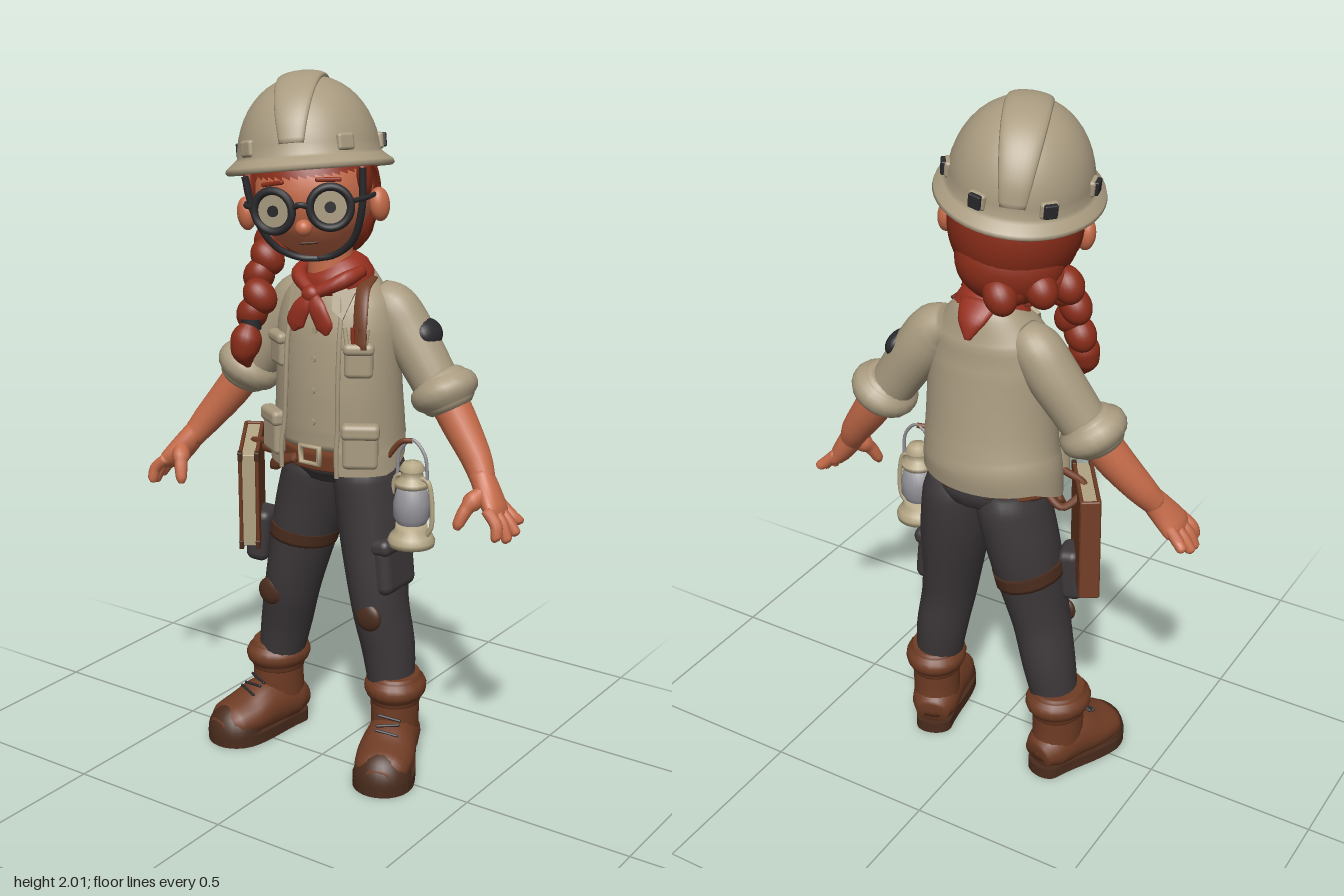
import * as THREE from 'three';
import { mergeVertices } from 'three/addons/utils/BufferGeometryUtils.js';
import { RoundedBoxGeometry } from 'three/addons/geometries/RoundedBoxGeometry.js';

const V = (x, y, z) => new THREE.Vector3(x, y, z);

// Tube with elliptical rings [x, y, z, r1, r2] blended along a smooth path; a0..a1 leaves an opening
function loft(rings, { seg = 20, a0 = 0, a1 = Math.PI * 2, cap = true, sub = 5 } = {}) {
  const path = new THREE.CatmullRomCurve3(rings.map(r => V(r[0], r[1], r[2])));
  const radii = new THREE.CatmullRomCurve3(rings.map(r => V(r[3], r[4] ?? r[3], 0)));
  const n = (rings.length - 1) * sub, pos = [], idx = [];
  const ring = (t, k) => {
    const c = path.getPoint(t), r = radii.getPoint(t), tan = path.getTangent(t);
    const side = Math.abs(tan.x) > 0.95 ? V(0, 0, 1) : V(1, 0, 0);
    side.addScaledVector(tan, -side.dot(tan)).normalize();
    const nor = tan.clone().cross(side);
    for (let j = 0; j <= seg; j++) {
      const a = a0 + (a1 - a0) * j / seg;
      const p = c.clone().addScaledVector(side, Math.cos(a) * r.x * k).addScaledVector(nor, Math.sin(a) * r.y * k);
      pos.push(p.x, p.y, p.z);
    }
  };
  if (cap) ring(0, 0);
  for (let i = 0; i <= n; i++) ring(i / n, 1);
  if (cap) ring(1, 0);
  const w = seg + 1, rows = pos.length / 3 / w;
  for (let i = 0; i < rows - 1; i++) for (let j = 0; j < seg; j++) {
    const a = i * w + j;
    idx.push(a, a + 1, a + w, a + 1, a + w + 1, a + w);
  }
  const g = new THREE.BufferGeometry();
  g.setAttribute('position', new THREE.Float32BufferAttribute(pos, 3));
  g.setIndex(idx);
  return bend(g, () => {});
}

// Moves vertices by a rule and smooths the result
function bend(g, rule) {
  const p = g.attributes.position, v = V(0, 0, 0);
  for (let i = 0; i < p.count; i++) { v.fromBufferAttribute(p, i); rule(v); p.setXYZ(i, v.x, v.y, v.z); }
  g.deleteAttribute('uv'); g.deleteAttribute('normal');
  const m = mergeVertices(g, 1e-5);
  m.computeVertexNormals();
  return m;
}

export function createModel() {
  const mat = (name, color, side = THREE.FrontSide) => Object.assign(new THREE.MeshStandardMaterial({ color, side }), { name });
  const khaki = mat('khaki', 0xa99b80, THREE.DoubleSide), skin = mat('skin', 0xc56b49);
  const red = mat('hair red', 0x8a2d19, THREE.DoubleSide), scarfRed = mat('scarf red', 0x97301f, THREE.DoubleSide);
  const charcoal = mat('charcoal', 0x3d383a), leather = mat('leather', 0x6f3c24), dark = mat('dark brown', 0x4a2c1d);
  const black = mat('black', 0x2a2a2d), cream = mat('cream', 0xb5a786), grey = mat('glass grey', 0x929298);

  const model = new THREE.Group();
  const add = (parent, name, geo, m, p = [0, 0, 0], r = [0, 0, 0], s = [1, 1, 1]) => {
    const mesh = new THREE.Mesh(geo, m);
    mesh.name = name; mesh.position.set(...p); mesh.rotation.set(...r); mesh.scale.set(...s);
    parent.add(mesh);
    return mesh;
  };
  const group = (parent, name, p, r = [0, 0, 0]) => {
    const g = new THREE.Group();
    g.name = name; g.position.set(...p); g.rotation.set(...r, 'YXZ');
    parent.add(g);
    return g;
  };
  const ball = (r = 1) => new THREE.SphereGeometry(r, 24, 16);
  const box = (w, h, d, r = 0.01) => new RoundedBoxGeometry(w, h, d, 3, Math.min(r, w / 2.1, h / 2.1, d / 2.1));
  const cyl = (a, b, h, n = 24) => new THREE.CylinderGeometry(a, b, h, n);
  const tube = (pts, r) => new THREE.TubeGeometry(new THREE.CatmullRomCurve3(pts.map(p => V(...p))), 24, r, 8);

  // Legs, hips and boots
  add(model, 'hips', loft([[0, 0.875, -0.107, 0.13, 0.112], [0, 0.92, -0.102, 0.18, 0.13], [0, 0.98, -0.09, 0.175, 0.125]]), charcoal);
  const legs = [
    { knee: -0.19, rings: [[-0.08, 0.93, -0.105, 0.085, 0.11], [-0.086, 0.87, -0.108, 0.098, 0.124], [-0.113, 0.75, -0.105, 0.1, 0.117], [-0.165, 0.5, -0.088, 0.08, 0.097], [-0.2, 0.36, -0.1, 0.075, 0.085], [-0.225, 0.23, -0.1, 0.065, 0.072]], foot: [-0.237, 0, -0.105], yaw: -0.28 },
    { knee: 0.157, rings: [[0.085, 0.93, -0.105, 0.085, 0.11], [0.091, 0.87, -0.108, 0.098, 0.124], [0.106, 0.75, -0.105, 0.099, 0.117], [0.142, 0.5, -0.088, 0.078, 0.097], [0.165, 0.36, -0.1, 0.075, 0.085], [0.18, 0.23, -0.1, 0.065, 0.072]], foot: [0.188, 0, -0.105], yaw: 0.36 },
  ];
  for (const { knee, rings, foot, yaw } of legs) {
    add(model, 'trouserLeg', loft(rings), charcoal);
    add(model, 'kneePatch', ball(), dark, [knee, 0.48, -0.004], [0, 0, 0], [0.042, 0.042, 0.018]);
    const boot = group(model, 'boot', foot, [0, yaw, 0]);
    add(boot, 'shaft', loft([[0, 0.05, -0.01, 0.068, 0.08], [0, 0.14, 0, 0.07, 0.08], [0, 0.25, 0, 0.073, 0.08]]), leather);
    add(boot, 'foldedCuff', loft([[0, 0.195, 0, 0.072, 0.08], [0, 0.212, 0, 0.077, 0.086], [0, 0.27, 0, 0.077, 0.086], [0, 0.285, 0, 0.07, 0.078]]), leather);
    const upper = loft([[0, 0.07, -0.085, 0.048, 0.04], [0, 0.08, -0.04, 0.07, 0.07], [0, 0.085, 0.05, 0.077, 0.08], [0, 0.07, 0.13, 0.085, 0.062], [0, 0.062, 0.19, 0.077, 0.05], [0, 0.055, 0.235, 0.035, 0.02]]);
    add(boot, 'upper', bend(upper, v => { v.y = Math.max(v.y, 0.02); }), leather);
    const cap = new THREE.SphereGeometry(1, 24, 12, 0, Math.PI * 2, 0, Math.PI / 2);
    add(boot, 'toeCap', cap, dark, [0, 0.025, 0.168], [0, 0, 0], [0.086, 0.092, 0.082]);
    const outline = new THREE.Shape();
    outline.moveTo(-0.054, 0.06);
    outline.bezierCurveTo(-0.045, 0.105, 0.045, 0.105, 0.054, 0.06);
    outline.bezierCurveTo(0.06, -0.02, 0.094, -0.1, 0.088, -0.17);
    outline.bezierCurveTo(0.07, -0.275, -0.07, -0.275, -0.088, -0.17);
    outline.bezierCurveTo(-0.094, -0.1, -0.06, -0.02, -0.054, 0.06);
    add(boot, 'sole', new THREE.ExtrudeGeometry(outline, { depth: 0.035, bevelEnabled: false }), dark, [0, 0, 0], [-Math.PI / 2, 0, 0]);
    for (let i = 0; i < 3; i++) add(boot, 'lace', box(0.07, 0.008, 0.01, 0.003), black, [0, 0.168 - i * 0.014, 0.08 + i * 0.02], [-0.6, 0, i % 2 ? 0.15 : -0.15]);
  }
  add(model, 'thighStrap', loft([[-0.13, 0.685, -0.102, 0.1, 0.118], [-0.138, 0.645, -0.1, 0.098, 0.116]]), dark);
  add(model, 'holster', box(0.07, 0.16, 0.1, 0.025), charcoal, [-0.235, 0.65, -0.03], [0, 0.2, -0.1]);
  add(model, 'cargoPocket', box(0.06, 0.15, 0.16, 0.028), charcoal, [0.185, 0.62, -0.09], [0, 0, 0.1]);
  add(model, 'cargoFlap', box(0.07, 0.05, 0.17, 0.022), charcoal, [0.182, 0.69, -0.09], [0, 0, 0.1]);

  // Belt
  add(model, 'belt', loft([[0, 0.92, -0.1, 0.19, 0.139], [0, 0.973, -0.095, 0.184, 0.137]]), leather, [0, 0, 0.008]);
  add(model, 'buckle', new THREE.TorusGeometry(0.036, 0.009, 6, 4).rotateZ(Math.PI / 4), cream, [-0.005, 0.953, 0.054], [0, 0, 0], [1.2, 0.95, 1]);
  add(model, 'hipStrap', loft([[-0.06, 0.935, 0.035, 0.012, 0.02], [-0.13, 0.905, 0.01, 0.012, 0.022], [-0.2, 0.87, -0.04, 0.012, 0.022]]), leather);

  // Shirt and open vest
  const body = [[-0.005, 0.965, -0.09, 0.18, 0.14], [-0.005, 1.03, -0.092, 0.182, 0.146], [0, 1.15, -0.082, 0.176, 0.138], [0, 1.3, -0.078, 0.172, 0.122], [0, 1.38, -0.085, 0.155, 0.105], [0, 1.435, -0.088, 0.108, 0.082], [0, 1.47, -0.08, 0.068, 0.062]];
  add(model, 'shirt', loft(body, { seg: 32 }), khaki);
  const wide = [[-0.01, 0.9, -0.092, 0.205, 0.162], ...body.map(([x, y, z, a, b]) => [x, y, z, a * 1.05 + 0.005, b * 1.06 + 0.005])];
  wide[1] = [-0.01, 0.97, -0.094, 0.203, 0.166];
  const gap = 0.48;
  const vest = loft(wide, { seg: 40, a0: -Math.PI / 2 + gap, a1: Math.PI * 1.5 - gap, cap: false });
  add(model, 'vest', bend(vest, v => { if (v.y < 1.1) v.y += (1.1 - v.y) * 0.3 * THREE.MathUtils.clamp((-0.05 - v.z) * 8, 0, 1); }), khaki);
  for (const s of [-1, 1]) {
    add(model, 'vestEdge', tube(wide.slice(0, 7).map(([x, y, z, a, b]) => [x + s * a * Math.sin(gap), y, z + b * Math.cos(gap)]), 0.007), khaki);
    const pocket = (x, y, z, w, h) => {
      const g = group(model, 'vestPocket', [x, y, z], [0, s * 0.55, 0]);
      add(g, 'pouch', box(w, h, 0.036, 0.015), khaki);
      add(g, 'flap', box(w * 1.08, h * 0.36, 0.044, 0.015), khaki, [0, h * 0.36, 0.003]);
    };
    pocket(s * 0.132, 1.235, 0.016, 0.08, 0.095);
    pocket(s * 0.147, 0.995, 0.028, 0.1, 0.125);
    const flap = new THREE.Shape([new THREE.Vector2(0, 0.05), new THREE.Vector2(s * 0.07, 0.03), new THREE.Vector2(s * 0.055, -0.05), new THREE.Vector2(s * 0.02, -0.03)]);
    add(model, 'collar', new THREE.ExtrudeGeometry(flap, { depth: 0.012, bevelEnabled: false }), khaki, [s * 0.035, 1.395, 0.018], [-0.45, s * 0.3, 0]);
  }
  for (const [y, z] of [[1.05, 0.055], [1.14, 0.056], [1.23, 0.051], [1.31, 0.043]])
    add(model, 'button', cyl(0.009, 0.009, 0.008, 12), khaki, [0.005, y, z], [Math.PI / 2, 0, 0]);
  add(model, 'shoulderStrap', loft([[0.098, 1.445, -0.09, 0.022, 0.008], [0.115, 1.425, -0.03, 0.022, 0.008], [0.135, 1.36, 0.012, 0.022, 0.008], [0.142, 1.27, 0.027, 0.022, 0.008]]), leather);
  [cream, red, leather, cream].forEach((m, i) => add(model, 'pencil', cyl(0.006, 0.006, 0.08, 8), m, [0.108 + i * 0.016, 1.29, 0.04 - i * 0.008], [0, 0, 0.15 - i * 0.1]));
  add(model, 'sleevePatch', ball(), black, [0.254, 1.3, -0.148], [0, 0, 0.53], [0.03, 0.042, 0.052]);

  // Arms: the left one swings further back than the right
  for (const s of [-1, 1]) {
    const at = (x, y, z, ...r) => [s * x, y, s > 0 ? z - 0.03 - 0.11 * THREE.MathUtils.clamp((x - 0.15) / 0.33, 0, 1) : z, ...r];
    add(model, 'sleeve', loft([at(0.1, 1.385, -0.095, 0.055), at(0.15, 1.36, -0.1, 0.069), at(0.19, 1.3, -0.095, 0.073), at(0.25, 1.21, -0.08, 0.069), at(0.308, 1.12, -0.065, 0.064)]), khaki);
    add(model, 'rolledCuff', loft([at(0.281, 1.187, -0.077, 0.06), at(0.289, 1.174, -0.074, 0.075), at(0.324, 1.11, -0.062, 0.075), at(0.332, 1.095, -0.06, 0.06)]), khaki);
    add(model, 'forearm', loft([at(0.3, 1.15, -0.07, 0.056), at(0.36, 1.06, -0.045, 0.052), at(0.425, 0.97, -0.01, 0.043), at(0.46, 0.915, 0.02, 0.034)]), skin);
    add(model, 'palm', loft([at(0.445, 0.94, 0.01, 0.034), at(0.475, 0.895, 0.03, 0.034, 0.044), at(0.51, 0.85, 0.045, 0.028, 0.054), at(0.528, 0.828, 0.05, 0.015, 0.045)]), skin);
    const tips = [[0.56, 0.805, -0.005], [0.57, 0.785, 0.033], [0.565, 0.775, 0.07], [0.55, 0.785, 0.103]];
    tips.forEach(([x, y, z], i) => {
      const bz = 0.01 + i * 0.026;
      add(model, 'finger', loft([at(0.505, 0.86, bz, 0.016), at(0.54, 0.825, (bz + z) / 2, 0.017), at(x - 0.004, y + 0.006, z, 0.015), at(x, y, z, 0.007)], { seg: 10 }), skin);
    });
    add(model, 'thumb', loft([at(0.475, 0.9, 0.05, 0.02), at(0.45, 0.86, 0.085, 0.02), at(0.435, 0.815, 0.103, 0.016), at(0.432, 0.8, 0.106, 0.008)], { seg: 10 }), skin);
  }

  // Neck and neckerchief
  add(model, 'neck', cyl(0.058, 0.065, 0.16), skin, [-0.01, 1.51, -0.055]);
  add(model, 'neckerchief', loft([[0, 1.415, -0.08, 0.09, 0.085], [0, 1.435, -0.075, 0.108, 0.1], [-0.005, 1.47, -0.068, 0.092, 0.088], [-0.01, 1.495, -0.062, 0.065, 0.06]], { seg: 28 }), scarfRed);
  add(model, 'knot', ball(), scarfRed, [-0.005, 1.41, 0.047], [0, 0, 0], [0.028, 0.026, 0.022]);
  for (const s of [-1, 1]) {
    add(model, 'scarfTail', loft([[0, 1.415, 0.048, 0.012, 0.01], [s * 0.025, 1.375, 0.06, 0.028, 0.012], [s * 0.048, 1.33, 0.06, 0.03, 0.01], [s * 0.055, 1.305, 0.058, 0.006, 0.006]], { seg: 12 }), scarfRed);
    add(model, 'scarfRoll', loft([[s * 0.095, 1.47, -0.06, 0.016], [s * 0.075, 1.45, 0.005, 0.022], [0, 1.41, 0.045, 0.016]], { seg: 12 }), scarfRed);
  }
  add(model, 'scarfPoint', loft([[0, 1.48, -0.14, 0.06, 0.02], [0, 1.44, -0.185, 0.04, 0.018], [0, 1.395, -0.205, 0.008, 0.008]]), scarfRed);

  // Head
  const head = group(model, 'head', [-0.03, 1.68, 0], [0, 0.42, 0.1]);
  add(head, 'face', bend(ball(), v => {
    const k = v.y < 0 ? 1 - 0.18 * v.y * v.y : 1;
    v.set(v.x * 0.165 * k, v.y * 0.175, v.z * 0.165 * k);
  }), skin);
  add(head, 'nose', ball(0.023), skin, [0, -0.07, 0.165]);
  add(head, 'mouth', box(0.05, 0.007, 0.008, 0.003), dark, [0, -0.118, 0.118]);
  const hair = bend(new THREE.SphereGeometry(1, 48, 24), v => {
    const a = Math.atan2(v.x, v.z), th = Math.acos(THREE.MathUtils.clamp(v.y, -1, 1));
    const t = th / Math.PI * (1.28 + 1.35 * THREE.MathUtils.smoothstep(Math.abs(a), 1.5, 1.95));
    v.set(0.182 * Math.sin(t) * Math.sin(a), 0.2 * Math.cos(t), 0.195 * Math.sin(t) * Math.cos(a) - 0.015);
  });
  add(head, 'hair', hair, red);
  add(head, 'napeHair', ball(), red, [0, -0.09, -0.095], [0.2, 0, 0], [0.145, 0.115, 0.105]);
  for (const s of [-1, 1]) {
    add(head, 'ear', ball(), skin, [s * 0.184, -0.04, 0.03], [0, s * -0.4, 0], [0.026, 0.046, 0.032]);
    add(head, 'sideburn', ball(), red, [s * 0.155, 0.04, 0.06], [0, 0, 0], [0.02, 0.055, 0.04]);
    add(head, 'eyebrow', box(0.07, 0.012, 0.013, 0.005), red, [s * 0.075, 0.05, 0.148], [0, s * 0.4, s * -0.1]);
    const lens = group(head, 'spectacleLens', [s * 0.077, -0.02, 0.166], [0, s * 0.2, 0]);
    add(lens, 'rim', new THREE.TorusGeometry(0.054, 0.011, 10, 32), black);
    add(lens, 'eye', cyl(0.05, 0.05, 0.008), khaki, [0, 0, -0.004], [Math.PI / 2, 0, 0]);
    add(lens, 'pupil', cyl(0.015, 0.015, 0.008), black, [0, 0, 0.001], [Math.PI / 2, 0, 0]);
    add(head, 'templeArm', tube([[s * 0.13, -0.01, 0.155], [s * 0.165, -0.01, 0.1], [s * 0.178, -0.01, 0.03]], 0.007), black);
    add(head, 'chinStrap', tube([[s * 0.16, 0.07, 0.1], [s * 0.146, -0.04, 0.09], [s * 0.108, -0.128, 0.062], [s * 0.05, -0.168, 0.035], [0, -0.176, 0.025]], 0.01), black);
  }
  add(head, 'bridge', tube([[-0.025, -0.015, 0.176], [0, -0.006, 0.185], [0.025, -0.015, 0.176]], 0.008), black);

  // Hard hat with a broad crown ridge and clips
  const hat = group(head, 'helmet', [0, 0.086, 0.005], [-0.13, 0, 0]);
  const profile = [[0.19, 0.005], [0.245, -0.026], [0.253, -0.02], [0.25, -0.01], [0.225, 0.008]].map(p => new THREE.Vector2(...p));
  for (let i = 0; i <= 12; i++) {
    const a = 0.07 + (Math.PI / 2 - 0.07) * i / 12;
    profile.push(new THREE.Vector2(0.216 * Math.cos(a) ** 0.9, 0.226 * Math.sin(a)));
  }
  add(hat, 'shell', new THREE.LatheGeometry(profile, 48), khaki, [0, 0, 0], [0, 0, 0], [0.9, 1, 1]);
  const ridge = [];
  for (let i = 0; i <= 10; i++) {
    const a = 0.2 + i / 10 * (Math.PI - 0.4), e = Math.sin(a);
    ridge.push([0, 0.223 * e, 0.214 * Math.cos(a), 0.026 + 0.036 * e, 0.008 + 0.009 * e]);
  }
  add(hat, 'crownRidge', loft(ridge, { seg: 20 }), khaki);
  for (const a of [0.75, 1.75, 2.65]) for (const s of [-1, 1]) {
    const p = [s * Math.sin(a) * 0.19, 0.04, Math.cos(a) * 0.211];
    add(hat, 'clipMount', box(0.05, 0.045, 0.022, 0.009), khaki, p, [0, s * a, 0]);
    if (a > 1) add(hat, 'clip', box(0.036, 0.038, 0.016, 0.004), black, [p[0] * 1.06, 0.042, p[2] * 1.06], [0, s * a, 0]);
  }

  // Braid over the right shoulder
  const braid = new THREE.CatmullRomCurve3([V(-0.07, 1.53, -0.17), V(-0.15, 1.54, -0.1), V(-0.185, 1.53, -0.02), V(-0.175, 1.44, 0.045), V(-0.17, 1.34, 0.085)]);
  for (let i = 0; i < 9; i++) {
    const c = braid.getPoint(i / 8), s = i % 2 ? 1 : -1;
    add(model, 'braidStrand', ball(), red, [c.x + s * 0.014, c.y, c.z + s * 0.008], [0.3, 0, s * 0.6], [0.044, 0.054, 0.044]);
  }
  add(model, 'braidTie', cyl(0.028, 0.028, 0.03), black, [-0.172, 1.315, 0.098]);
  add(model, 'braidTuft', loft([[-0.172, 1.32, 0.1, 0.02], [-0.176, 1.275, 0.115, 0.044], [-0.178, 1.235, 0.12, 0.038], [-0.17, 1.195, 0.115, 0.006]]), red);

  // Wide notebook hanging on the right hip, spine to the back
  const book = group(model, 'notebook', [-0.267, 0.795, -0.02], [0, -0.99, -0.08]);
  for (const s of [-1, 1]) {
    add(book, 'cover', box(0.26, 0.3, 0.011, 0.004), leather, [0, 0, s * 0.024]);
    for (const y of [-1, 1]) add(book, 'cornerGuard', box(0.026, 0.026, 0.014, 0.003), dark, [0.118, y * 0.138, s * 0.024]);
  }
  add(book, 'pages', box(0.247, 0.285, 0.042, 0.003), cream);
  add(book, 'spine', box(0.012, 0.3, 0.056, 0.005), leather, [-0.128, 0, 0]);
  add(model, 'bookLoop', tube([[-0.18, 0.93, -0.1], [-0.23, 0.89, -0.09], [-0.26, 0.93, -0.02], [-0.18, 0.95, 0.0]], 0.011), leather);

  // Lantern hanging on the left hip
  const lamp = group(model, 'lantern', [0.25, 0.7, -0.08]);
  const turned = (name, pts, m) => add(lamp, name, new THREE.LatheGeometry(pts.map(p => new THREE.Vector2(...p)), 24), m);
  turned('base', [[0, 0], [0.066, 0], [0.068, 0.015], [0.06, 0.03], [0.046, 0.045], [0.044, 0.065], [0, 0.066]], cream);
  turned('glass', [[0.038, 0.06], [0.052, 0.085], [0.052, 0.125], [0.04, 0.175], [0, 0.176]], grey);
  turned('chimney', [[0, 0.17], [0.048, 0.173], [0.05, 0.187], [0.032, 0.198], [0.03, 0.217], [0.038, 0.222], [0.026, 0.242], [0, 0.248]], cream);
  for (const s of [-1, 1]) add(lamp, 'sideTube', tube([[s * 0.045, 0.03, 0], [s * 0.064, 0.06, 0], [s * 0.064, 0.15, 0], [s * 0.05, 0.195, 0], [s * 0.025, 0.2, 0]], 0.007), cream);
  add(lamp, 'bail', tube([[-0.05, 0.19, 0], [-0.04, 0.27, 0], [0, 0.308, 0], [0.04, 0.27, 0], [0.05, 0.19, 0]], 0.005), grey);
  add(lamp, 'hook', tube([[0, 0.305, 0], [-0.03, 0.3, 0.01], [-0.07, 0.25, 0.02]], 0.008), leather);
  return model;
}
